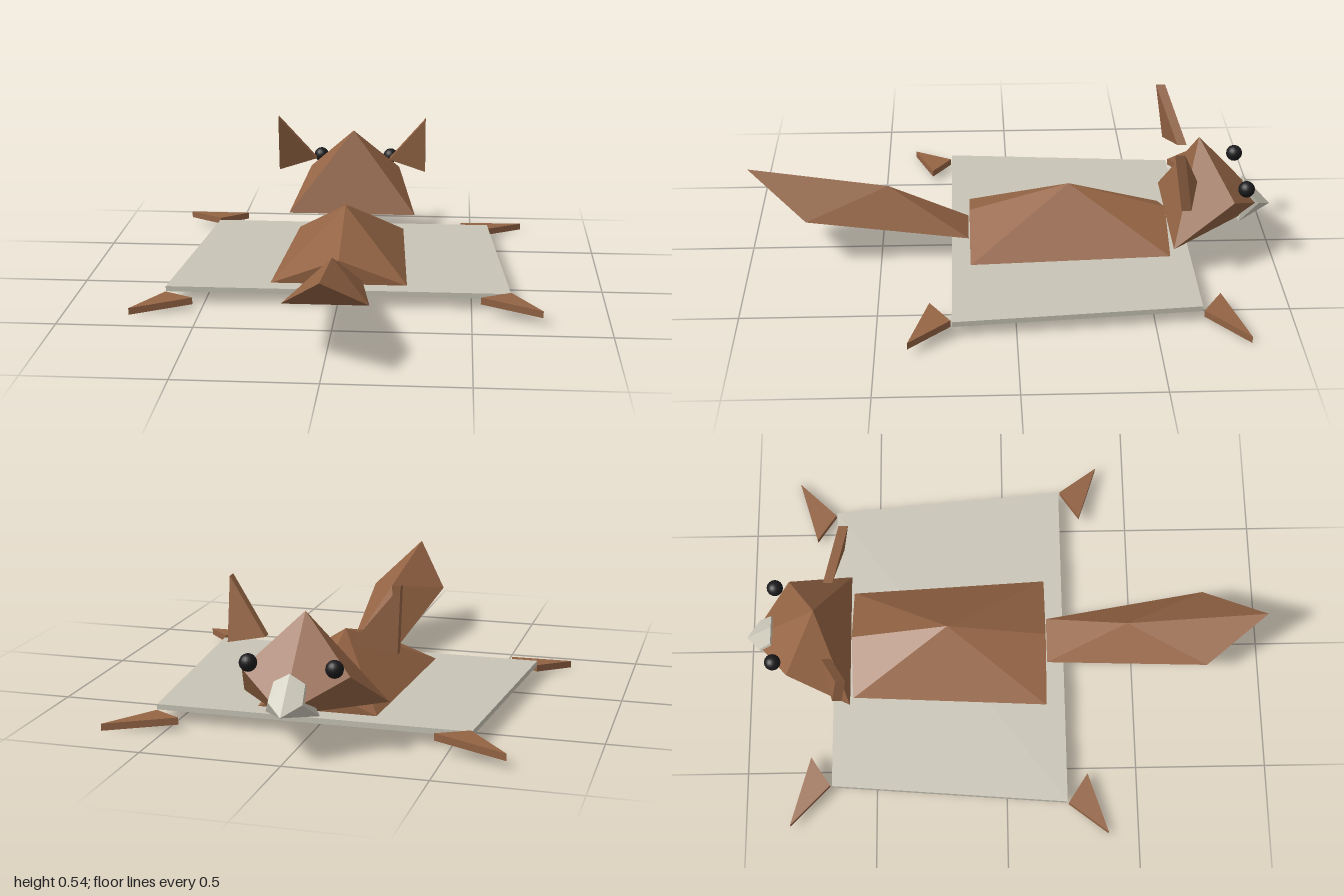
import * as THREE from 'three';
import { ConvexGeometry } from 'three/addons/geometries/ConvexGeometry.js';

const mat = (name, color) => Object.assign(new THREE.MeshStandardMaterial({ color }), { name });

export function createModel() {
  const fur = mat('brown fur', 0x946444);
  const pale = mat('pale fur', 0xc8c4b6);
  const dark = mat('eye black', 0x1a1a1c);
  const model = new THREE.Group();
  model.name = 'glidingSquirrel';

  const add = (name, geometry, material) => {
    const mesh = new THREE.Mesh(geometry, material);
    mesh.name = name;
    model.add(mesh);
    return mesh;
  };
  // Faceted solid spanned by its corner points
  const solid = (name, points, material) =>
    add(name, new ConvexGeometry(points.map((p) => new THREE.Vector3(...p))), material);
  // Mirrored pair of points
  const pair = (x, y, z) => [[x, y, z], [-x, y, z]];
  // Flat triangle given thickness along one axis
  const slab = (name, points, axis, half, material) =>
    solid(name, [-half, half].flatMap((d) => points.map((p) => p.map((v, i) => (i === axis ? v + d : v)))), material);

  // Gliding membrane
  slab('membrane', [...pair(0.57, 0.052, -0.67), ...pair(0.645, 0.052, 0.23)], 1, 0.01, pale);

  // Ridged body
  solid('body', [
    ...pair(0.22, 0.06, -0.595), ...pair(0.26, 0.06, 0.16),
    [0, 0.155, -0.595], [0, 0.265, -0.22], [0, 0.155, 0.16],
  ], fur);

  // Tail rising to a point
  solid('tail', [
    ...pair(0.09, 0.08, 0.165), ...pair(0.15, 0.195, 0.775),
    [0, 0.265, 0.47], [0, 0.345, 1],
  ], fur);

  // Head and pale snout
  solid('head', [
    [0, 0.455, -0.712], ...pair(0.265, 0.12, -0.6),
    ...pair(0.19, 0.27, -0.83), [0, 0.168, -0.982],
  ], fur);
  solid('snout', [
    [0, 0.165, -1], [0, 0.285, -0.892], ...pair(0.055, 0.255, -0.897),
    ...pair(0.06, 0.198, -0.947), ...pair(0.095, 0.138, -0.866),
  ], pale);

  for (const [side, s] of [['left', 1], ['right', -1]]) {
    const eye = add(side + 'Eye', new THREE.SphereGeometry(0.031, 16, 12), dark);
    eye.position.set(s * 0.15, 0.308, -0.878);

    slab(side + 'Ear', [
      [s * 0.305, 0.535, -0.597], [s * 0.305, 0.305, -0.632], [s * 0.153, 0.345, -0.672],
    ], 2, 0.018, fur);

    // Feet: one diagonal pair sits slightly higher than the other
    const frontLift = s > 0 ? 0 : 0.026;
    const backLift = 0.026 - frontLift;
    slab(side + 'FrontFoot', [
      [s * 0.717, 0.013 + frontLift, -0.827],
      [s * 0.458, 0.034 + frontLift, -0.75],
      [s * 0.568, 0.03 + frontLift, -0.677],
    ], 1, 0.013, fur);
    slab(side + 'BackFoot', [
      [s * 0.757, 0.013 + backLift, 0.385],
      [s * 0.532, 0.034 + backLift, 0.31],
      [s * 0.645, 0.03 + backLift, 0.235],
    ], 1, 0.013, fur);
  }
  return model;
}
